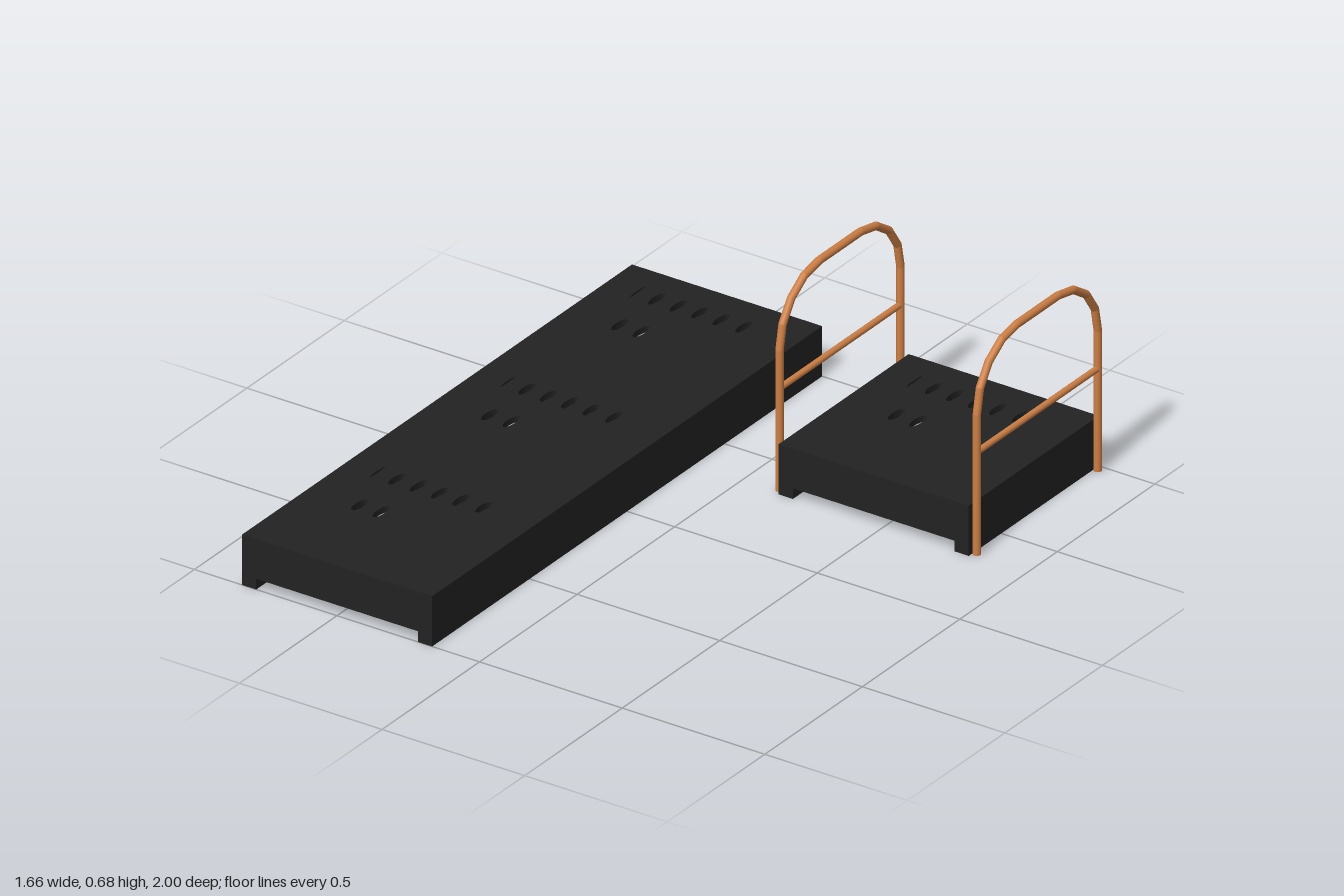
import * as THREE from 'three';

const dark = new THREE.MeshStandardMaterial({ color: 0x222222 });
const copper = new THREE.MeshStandardMaterial({ color: 0xcd7f45 });
const TILE = 2 / 3, HEIGHT = 0.165, LEG = 0.05, CLEARANCE = 0.035;

function addBox(group, name, size, pos) {
  const mesh = new THREE.Mesh(new THREE.BoxGeometry(...size), dark);
  mesh.name = name;
  mesh.position.set(...pos);
  group.add(mesh);
}

// Flat square sheet pierced by narrow oval slots, each given as [x, z, half width]
function perforatedSheet(name, size, thickness, slots) {
  const h = size / 2;
  const shape = new THREE.Shape([[-h, -h], [h, -h], [h, h], [-h, h]].map(p => new THREE.Vector2(...p)));
  for (const [x, z, rx] of slots) {
    shape.holes.push(new THREE.Path().absellipse(x, -z, rx, 0.04, 0, Math.PI * 2, true));
  }
  const geometry = new THREE.ExtrudeGeometry(shape, { depth: thickness, bevelEnabled: false, curveSegments: 8 });
  const mesh = new THREE.Mesh(geometry.rotateX(-Math.PI / 2), dark);
  mesh.name = name;
  return mesh;
}

// One hollow platform module: side rails, end plates, deck and lower sheet
function platformTile() {
  const tile = new THREE.Group();
  tile.name = 'platformTile';
  const columns = [-0.155, -0.08, -0.005, 0.07, 0.15];
  const row = (z, count) => columns.slice(0, count).map(x => [x, z, 0.014]);
  const sliver = [-0.226, -0.205, 0.004];

  const deck = perforatedSheet('deck', TILE, 0.01, [sliver, ...row(-0.2, 5), ...row(-0.01, 2)]);
  deck.position.y = HEIGHT - 0.01;
  const lower = perforatedSheet('lowerSheet', TILE - 2 * LEG, 0.01, [sliver, ...row(-0.2, 5), ...row(-0.01, 5)]);
  lower.position.y = HEIGHT - 0.02;
  tile.add(deck, lower);

  const wallTop = HEIGHT - 0.01, plate = wallTop - CLEARANCE;
  for (const s of [-1, 1]) {
    addBox(tile, 'sideRail', [LEG, wallTop, TILE], [s * (TILE - LEG) / 2, wallTop / 2, 0]);
    addBox(tile, 'endPlate', [TILE - 2 * LEG, plate, 0.02],
      [0, CLEARANCE + plate / 2, s * (TILE / 2 - 0.01)]);
  }
  return tile;
}

// Round bar between two points
function bar(a, b, radius) {
  const dir = b.clone().sub(a);
  const mesh = new THREE.Mesh(new THREE.CylinderGeometry(radius, radius, dir.length(), 16), copper);
  mesh.position.copy(a).addScaledVector(dir, 0.5);
  mesh.quaternion.setFromUnitVectors(new THREE.Vector3(0, 1, 0), dir.normalize());
  return mesh;
}

// Arched hoop in the YZ plane with faceted corners and a middle bar
function handrail() {
  const rail = new THREE.Group();
  rail.name = 'handrail';
  const half = 0.31, bend = 0.205, spring = 0.46, radius = 0.0125;
  const side = [new THREE.Vector3(0, 0, half)];
  for (let i = 0; i <= 4; i++) {
    const a = i / 4 * Math.PI / 2;
    side.push(new THREE.Vector3(0, spring + bend * Math.sin(a), half - bend + bend * Math.cos(a)));
  }
  const other = side.map(p => new THREE.Vector3(0, p.y, -p.z)).reverse();
  const path = [...side, ...other];
  for (let i = 1; i < path.length; i++) {
    const piece = bar(path[i - 1], path[i], radius);
    piece.name = 'hoopSegment';
    rail.add(piece);
    if (i === path.length - 1) continue;
    const joint = new THREE.Mesh(new THREE.SphereGeometry(radius, 16, 10), copper);
    joint.name = 'hoopJoint';
    joint.position.copy(path[i]);
    rail.add(joint);
  }
  const middle = bar(new THREE.Vector3(0, 0.335, half), new THREE.Vector3(0, 0.335, -half), 0.01);
  middle.name = 'middleBar';
  rail.add(middle);
  return rail;
}

export function createModel() {
  const model = new THREE.Group();
  model.name = 'platforms';

  // Long walkway of three modules
  const walkway = new THREE.Group();
  walkway.name = 'longPlatform';
  for (const i of [-1, 0, 1]) {
    const tile = platformTile();
    tile.position.set(-0.5, 0, i * TILE);
    walkway.add(tile);
  }

  // Single module with a handrail on each side
  const railed = new THREE.Group();
  railed.name = 'railedPlatform';
  railed.position.set(0.47, 0, -TILE);
  railed.add(platformTile());
  for (const s of [-1, 1]) {
    const rail = handrail();
    rail.position.x = s * 0.346;
    railed.add(rail);
  }

  model.add(walkway, railed);
  return model;
}
